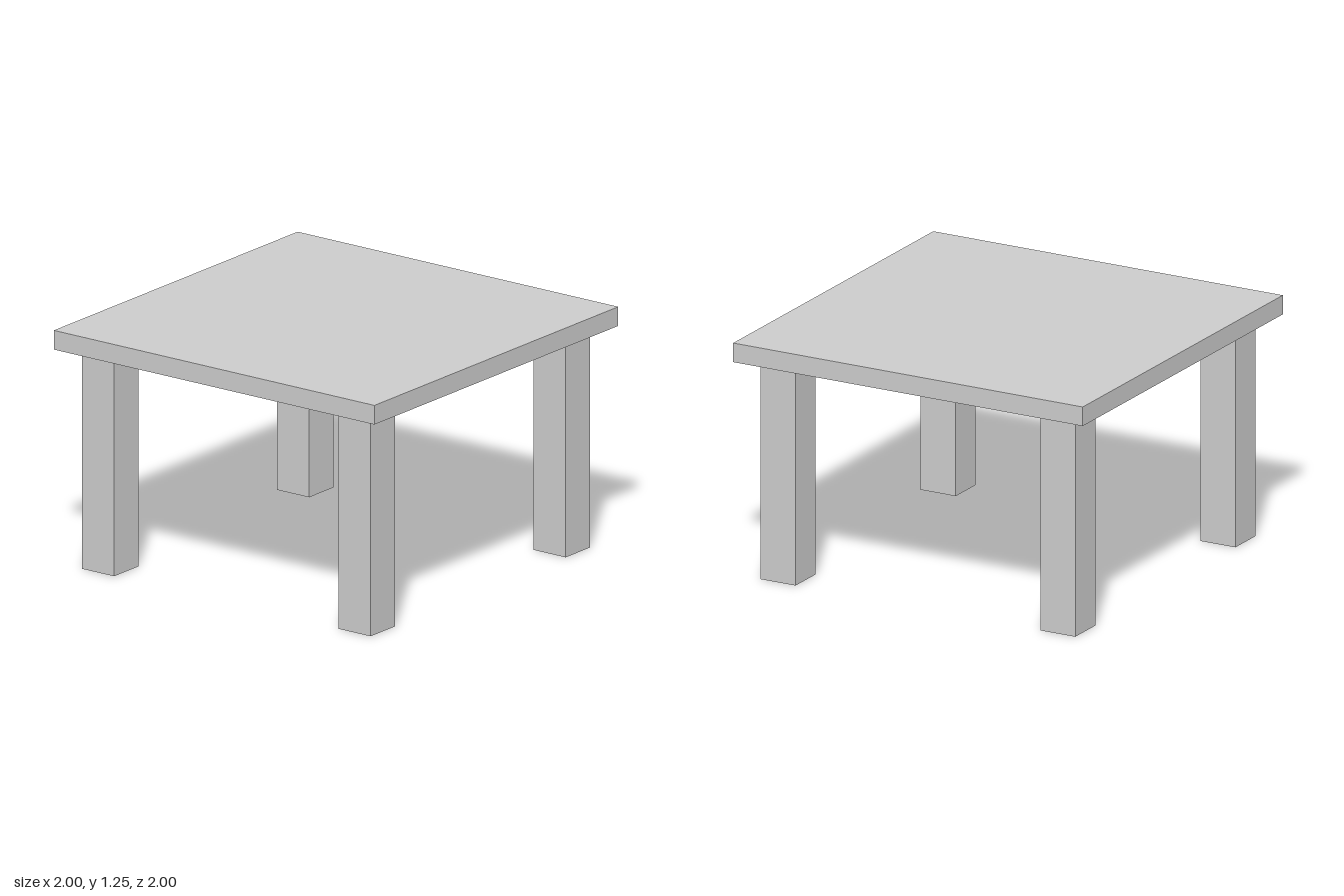
import * as THREE from 'three';

const TOP = { size: 2, thickness: 0.1 };
const LEG = { width: 0.2, height: 1.15, offset: 0.8 };

export function createModel() {
  const table = new THREE.Group();
  table.name = 'table';
  const material = new THREE.MeshStandardMaterial({ color: 0xcccccc });

  // Square slab resting on the legs
  const top = new THREE.Mesh(new THREE.BoxGeometry(TOP.size, TOP.thickness, TOP.size), material);
  top.name = 'tableTop';
  top.position.y = LEG.height + TOP.thickness / 2;
  table.add(top);

  // Four square legs, inset from the corners
  const legGeometry = new THREE.BoxGeometry(LEG.width, LEG.height, LEG.width);
  for (const [xName, x] of [['Left', 1], ['Right', -1]]) {
    for (const [zName, z] of [['front', 1], ['back', -1]]) {
      const leg = new THREE.Mesh(legGeometry, material);
      leg.name = `${zName}${xName}Leg`;
      leg.position.set(x * LEG.offset, LEG.height / 2, z * LEG.offset);
      table.add(leg);
    }
  }
  return table;
}
